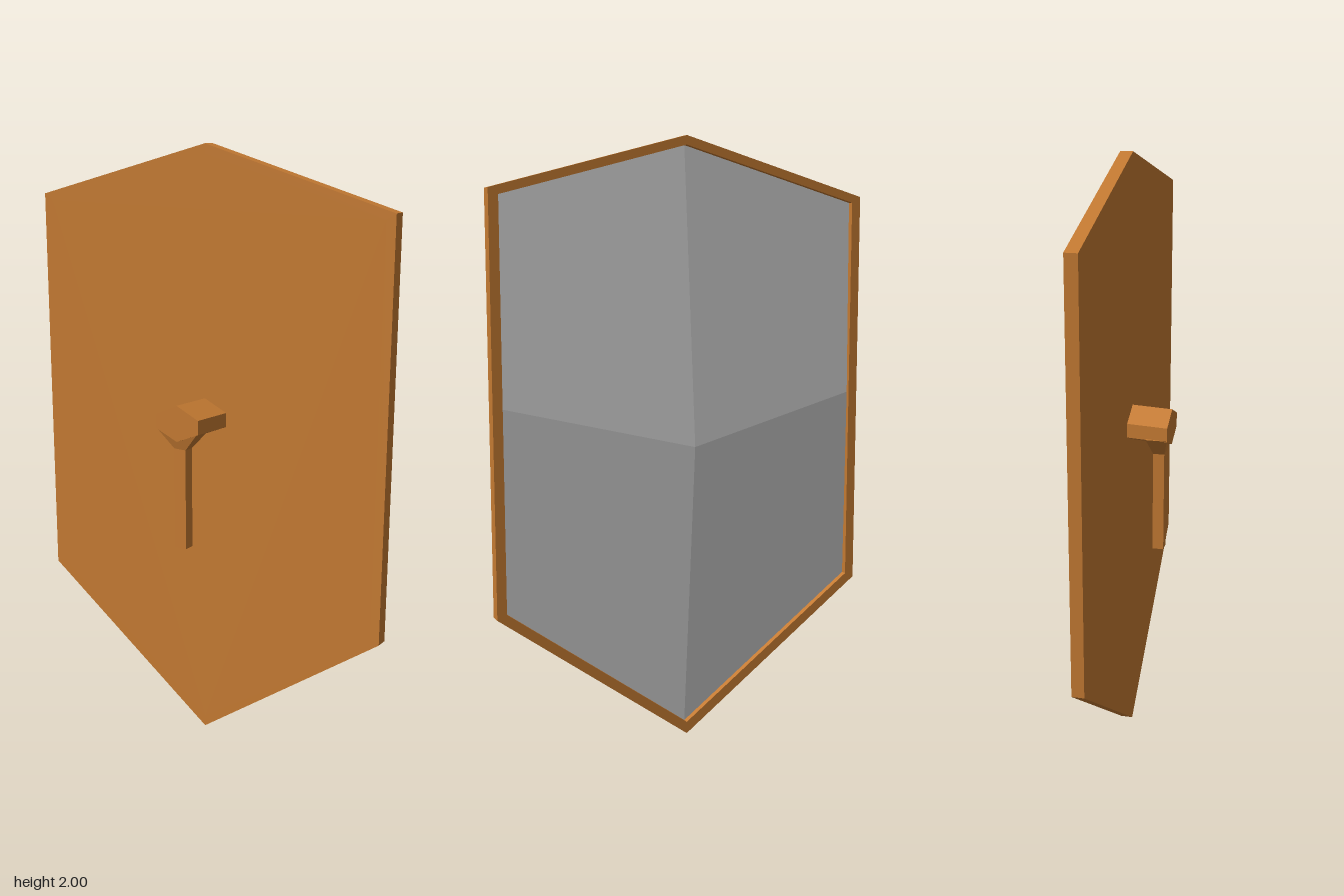
import * as THREE from 'three';

const wood = new THREE.MeshStandardMaterial({ color: 0xc47a32, flatShading: true });
const plain = new THREE.MeshStandardMaterial({ color: 0xcccccc });

// Six-sided shield outlines, counter-clockwise from the bottom point
const outer = [[0, 0], [0.66, 0.48], [0.66, 1.82], [0, 2], [-0.66, 1.82], [-0.66, 0.48]];
const inner = [[0, 0.04], [0.628, 0.495], [0.628, 1.8], [0, 1.97], [-0.628, 1.8], [-0.628, 0.495]];

const points = (list) => list.map(([x, y]) => new THREE.Vector2(x, y));

function add(group, name, geometry, material) {
  const mesh = new THREE.Mesh(geometry, material);
  mesh.name = name;
  group.add(mesh);
  return mesh;
}

function slab(shape, z, depth) {
  return new THREE.ExtrudeGeometry(shape, { depth, bevelEnabled: false }).translate(0, 0, z);
}

// Shallow bulging face made of four flat-looking quarters
function bulge() {
  const z = [0, 0, 0, 0, 0, 0];
  const rim = inner.map(([x, y], i) => new THREE.Vector3(x, y, z[i]));
  const centre = new THREE.Vector3(0, 1, 0.084);
  const right = new THREE.Vector3(0.628, 1.147, 0.008);
  const left = new THREE.Vector3(-0.628, 1.147, 0.008);
  const quarters = [
    [centre, rim[0], rim[1], right],
    [centre, right, rim[2], rim[3]],
    [centre, rim[3], rim[4], left],
    [centre, left, rim[5], rim[0]],
  ];
  const position = [], normal = [], index = [];
  quarters.forEach(([a, b, c, d], q) => {
    const n = c.clone().sub(a).cross(d.clone().sub(b)).normalize();
    for (const p of [a, b, c, d]) {
      position.push(p.x, p.y, p.z);
      normal.push(n.x, n.y, n.z);
    }
    index.push(...[0, 1, 2, 0, 2, 3].map((k) => k + q * 4));
  });
  const g = new THREE.BufferGeometry();
  g.setAttribute('position', new THREE.Float32BufferAttribute(position, 3));
  g.setAttribute('normal', new THREE.Float32BufferAttribute(normal, 3));
  g.setIndex(index);
  return g;
}

// Six-sided bracket, leaning slightly sideways as it leaves the board
function bracketGeometry() {
  const w = 0.083;
  const section = [[0, 1.07], [w, 1.105], [w, 1.152], [0, 1.19], [-w, 1.152], [-w, 1.105]];
  const g = slab(new THREE.Shape(points(section)), -0.155, 0.145);
  const p = g.attributes.position;
  for (let i = 0; i < p.count; i++) p.setX(i, p.getX(i) - (p.getZ(i) + 0.02) * 0.135);
  g.computeVertexNormals();
  return g;
}

// Four-sided taper between the bracket and the grip
function collarGeometry() {
  const g = new THREE.BoxGeometry(1, 1, 1);
  const p = g.attributes.position;
  for (let i = 0; i < p.count; i++) {
    const top = p.getY(i) > 0;
    const x = Math.sign(p.getX(i)) * (top ? 0.082 : 0.022) + 0.02;
    const back = p.getZ(i) < 0;
    const z = top ? (back ? -0.154 : -0.085) : (back ? -0.135 : -0.098);
    p.setXYZ(i, x, top ? 1.108 : 1.04, z);
  }
  g.computeVertexNormals();
  return g;
}

export function createModel() {
  const model = new THREE.Group();
  const shield = new THREE.Group();
  shield.name = 'shield';

  // Rim, backing board and bulging face
  const rim = new THREE.Shape(points(outer));
  rim.holes.push(new THREE.Path(points(inner).reverse()));
  add(shield, 'rim', slab(rim, -0.02, 0.04), wood);
  add(shield, 'backBoard', slab(new THREE.Shape(points(inner)), -0.02, 0.012), wood);
  add(shield, 'face', bulge(), plain);

  // Handle on the back
  const handle = new THREE.Group();
  handle.name = 'handle';
  add(handle, 'bracket', bracketGeometry(), wood);
  add(handle, 'collar', collarGeometry(), wood);
  add(handle, 'grip', new THREE.BoxGeometry(0.044, 0.36, 0.037), wood).position.set(0.02, 0.88, -0.1165);
  shield.add(handle);

  // The shield faces its left side, turned a little to the rear
  shield.rotation.y = THREE.MathUtils.degToRad(106.7);
  model.add(shield);
  return model;
}
